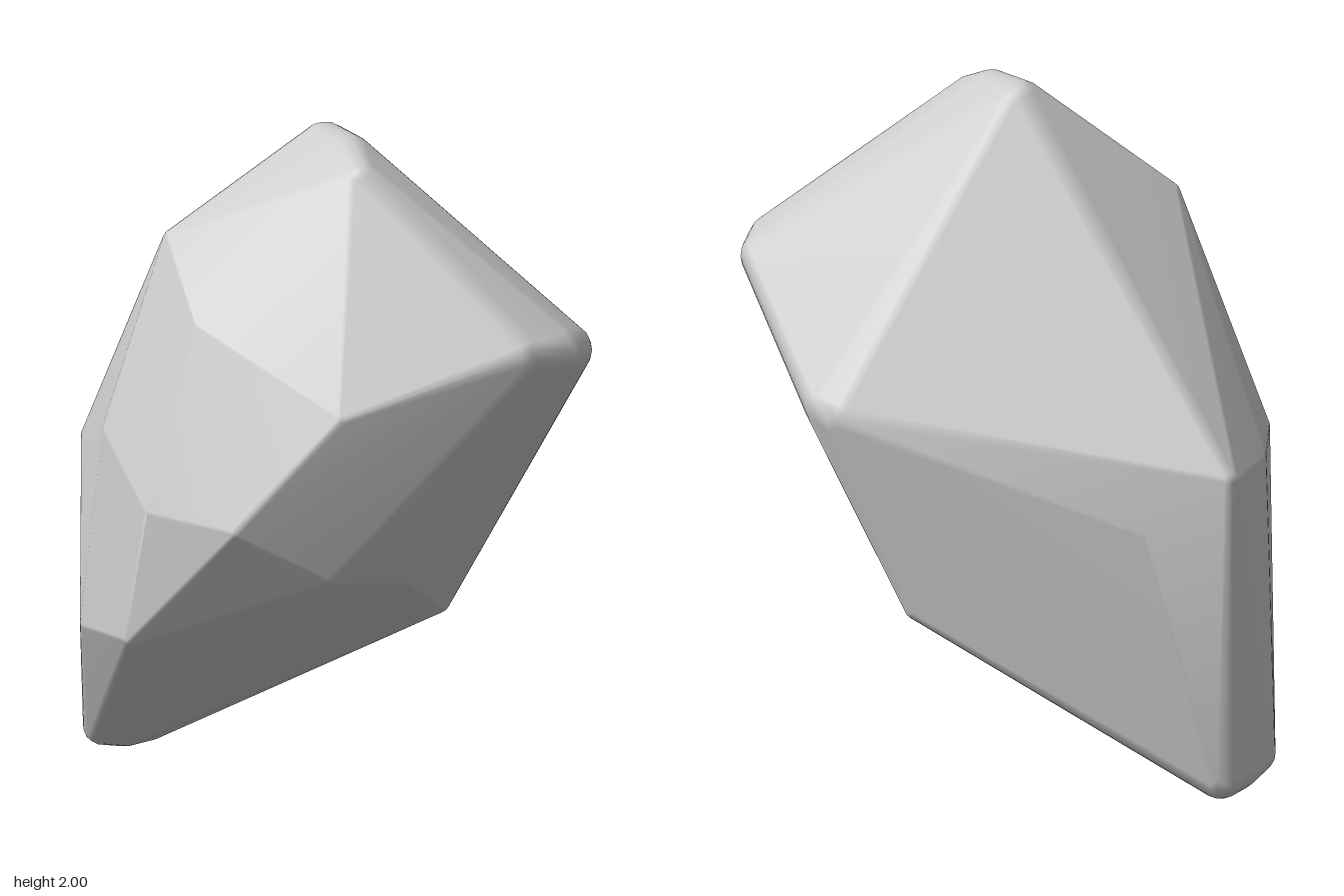
import * as THREE from 'three';
import { ConvexGeometry } from 'three/addons/geometries/ConvexGeometry.js';
import { mergeVertices } from 'three/addons/utils/BufferGeometryUtils.js';

// Rock corners: x, y, z of the ball that rounds each corner, and its radius
const CORNERS = [
  // crest
  [-0.02, 1.92, -0.06, 0.08], [0.1, 1.92, 0.0, 0.08], [0.2, 1.885, 0.08, 0.07],
  [-0.37, 1.65, 0.19, 0.035],
  // right-hand end
  [0.71, 1.455, 0.02, 0.08], [0.745, 1.44, -0.1, 0.08], [0.72, 1.42, -0.19, 0.08],
  // back
  [0.3, 1.07, -0.48, 0.09], [0.36, 1.09, -0.46, 0.09], [0.12, 0.51, -0.42, 0.035],
  [-0.59, 0.8, -0.35, 0.03], [-0.79, 0.96, -0.25, 0.04],
  // front
  [-0.15, 1.48, 0.38, 0.02], [0.35, 1.29, 0.38, 0.03], [0.09, 0.95, 0.535, 0.03],
  [-0.2, 0.96, 0.54, 0.03], [-0.28, 0.57, 0.53, 0.03], [-0.53, 0.53, 0.38, 0.03],
  [-0.46, 1.12, 0.39, 0.02], [-0.68, 1.01, 0.16, 0.03], [-0.775, 0.98, -0.04, 0.03],
  // underside
  [0.26, 0.8, 0.33, 0.03], [0.305, 0.73, 0.02, 0.03], [-0.05, 0.53, 0.15, 0.03],
  // foot
  [-0.755, 0.09, 0.0, 0.055], [-0.745, 0.075, -0.1, 0.068], [-0.74, 0.07, -0.19, 0.07],
];

export function createModel() {
  const points = [];
  for (const [x, y, z, r] of CORNERS) {
    const ball = new THREE.IcosahedronGeometry(r, 2);
    ball.deleteAttribute('normal');
    ball.deleteAttribute('uv');
    const p = mergeVertices(ball, 1e-5).attributes.position;
    for (let i = 0; i < p.count; i++) {
      points.push(new THREE.Vector3().fromBufferAttribute(p, i).add(new THREE.Vector3(x, y, z)));
    }
  }

  // Hull around all corner balls, with shared normals for soft edges
  let geometry = new ConvexGeometry(points);
  geometry.deleteAttribute('normal');
  geometry = mergeVertices(geometry, 1e-5);
  geometry.computeVertexNormals();

  const rock = new THREE.Mesh(geometry, new THREE.MeshStandardMaterial({ color: 0xcccccc }));
  rock.name = 'rock';
  const group = new THREE.Group();
  group.name = 'boulder';
  group.add(rock);
  return group;
}
